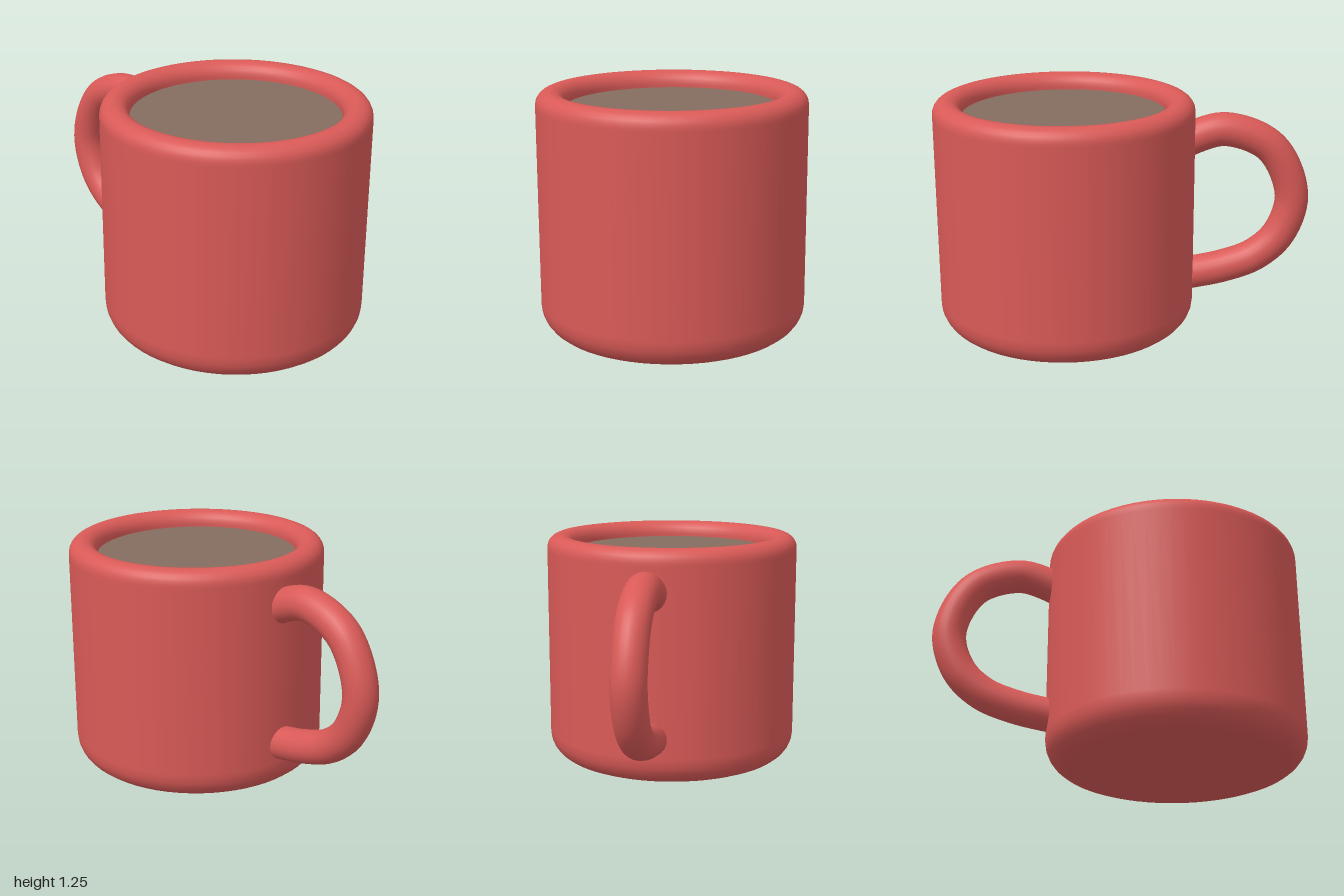
import * as THREE from 'three';

const CUP_X = 0.31;

// Points of a quarter-round corner, angles in degrees
function corner(cx, cy, rx, ry, from, to, steps = 6) {
  return Array.from({ length: steps + 1 }, (_, i) => {
    const a = THREE.MathUtils.degToRad(from + ((to - from) * i) / steps);
    return new THREE.Vector2(cx + rx * Math.cos(a), cy + ry * Math.sin(a));
  });
}

export function createModel() {
  const red = new THREE.MeshStandardMaterial({ color: 0xd95a57 });
  red.name = 'red glaze';
  const brown = new THREE.MeshStandardMaterial({ color: 0x836d5f });
  brown.name = 'brown drink';

  const group = new THREE.Group();
  group.name = 'mug';
  const add = (name, geometry, material) => {
    const mesh = new THREE.Mesh(geometry, material);
    mesh.name = name;
    group.add(mesh);
    return mesh;
  };

  // Cup: underside, rounded foot, wall, rounded rim, inner wall and floor
  const profile = [
    new THREE.Vector2(0, 0),
    new THREE.Vector2(0.535, 0),
    ...corner(0.55, 0.14, 0.14, 0.14, -90, 0),
    new THREE.Vector2(0.69, 0.16),
    new THREE.Vector2(0.69, 1.17),
    ...corner(0.62, 1.185, 0.07, 0.07, 0, 90),
    ...corner(0.61, 1.185, 0.07, 0.07, 90, 180),
    new THREE.Vector2(0.54, 1.16),
    new THREE.Vector2(0.54, 0.14),
    new THREE.Vector2(0.52, 0.12),
    new THREE.Vector2(0, 0.12),
  ];
  add('cup', new THREE.LatheGeometry(profile, 64), red).position.x = CUP_X;

  // Drink surface just below the rim
  const drink = add('drink', new THREE.CircleGeometry(0.541, 64), brown);
  drink.rotation.x = -Math.PI / 2;
  drink.position.set(CUP_X, 1.17, 0);

  // Handle: round tube whose ends are buried in the cup wall
  const path = new THREE.CatmullRomCurve3(
    [
      [-0.28, 0.98],
      [-0.38, 1.035],
      [-0.55, 1.075],
      [-0.79, 0.975],
      [-0.91, 0.71],
      [-0.85, 0.49],
      [-0.72, 0.365],
      [-0.55, 0.3],
      [-0.38, 0.265],
      [-0.28, 0.25],
    ].map(([x, y]) => new THREE.Vector3(x, y, 0))
  );
  add('handle', new THREE.TubeGeometry(path, 64, 0.09, 24), red);

  return group;
}
